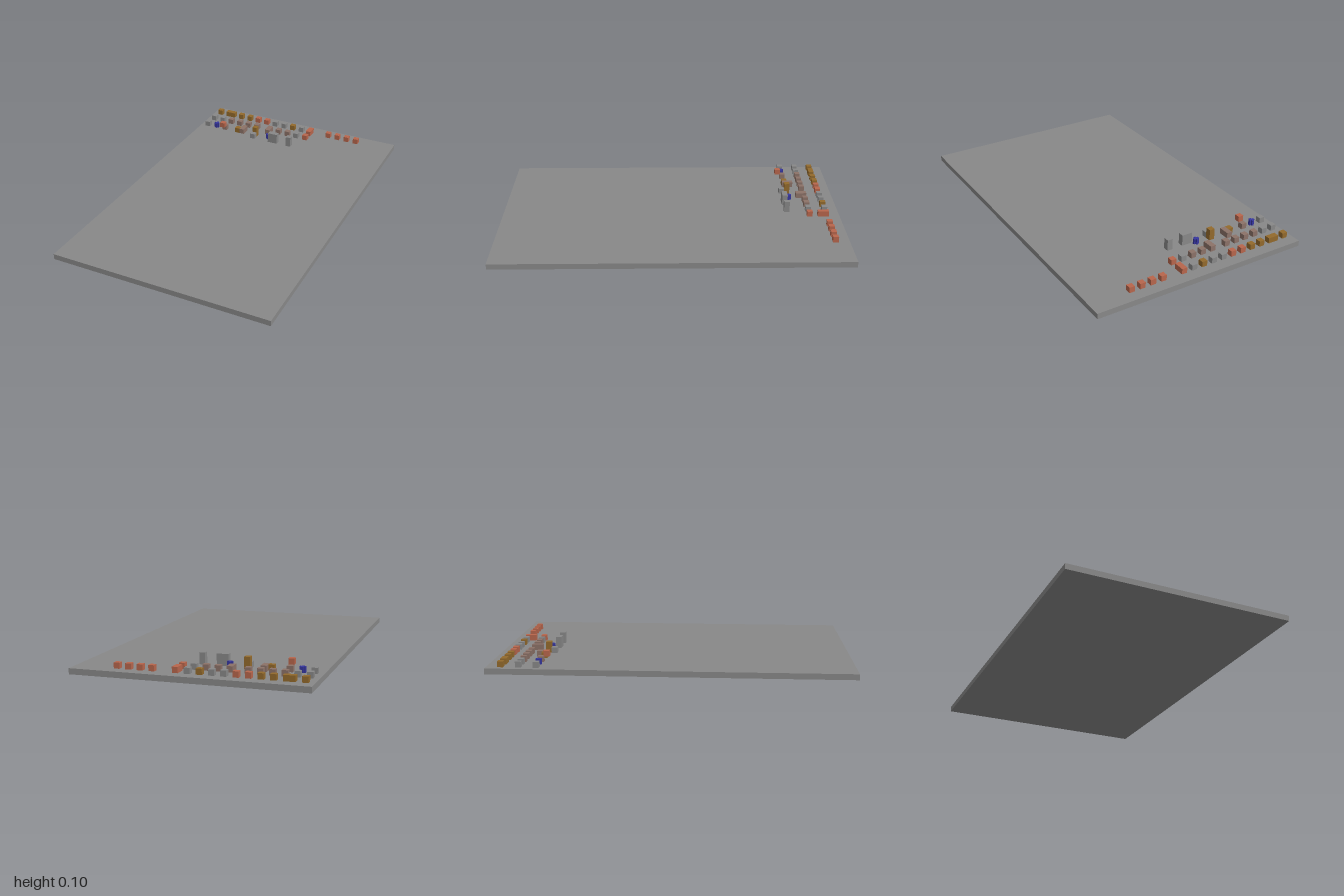
import * as THREE from 'three';

const U = 2 / 62; // one grid cell

const paint = (name, color) => {
  const m = new THREE.MeshStandardMaterial({ color });
  m.name = name;
  return m;
};

export function createModel() {
  const group = new THREE.Group();
  const grey = paint('grey', 0x888888);
  const orange = paint('orange', 0xb8664c);
  const ochre = paint('ochre', 0x936a2c);
  const blue = paint('blue', 0x3636a0);
  const taupe = paint('taupe', 0x8c7268);

  // Block centred on x, z in cells, with its bottom at cell height y
  const block = (name, mat, x, z, y = 1, w = 1, h = 1, d = 1) => {
    const mesh = new THREE.Mesh(new THREE.BoxGeometry(w * U, h * U, d * U), mat);
    mesh.position.set(x * U, (y + h / 2) * U, z * U);
    mesh.name = name;
    group.add(mesh);
  };
  const row = (name, mat, z, xs) => xs.forEach((x) => block(name, mat, x, z));

  // Upright plus-shaped post
  const crossPost = (x, z) => {
    const a = 0.5, b = 0.2;
    const pts = [[b, a], [-b, a], [-b, b], [-a, b], [-a, -b], [-b, -b],
      [-b, -a], [b, -a], [b, -b], [a, -b], [a, b], [b, b]];
    const shape = new THREE.Shape(pts.map(([px, py]) => new THREE.Vector2(px * U, py * U)));
    const geo = new THREE.ExtrudeGeometry(shape, { depth: U, bevelEnabled: false });
    geo.rotateX(-Math.PI / 2);
    const mesh = new THREE.Mesh(geo, blue);
    mesh.position.set(x * U, U, z * U);
    mesh.name = 'crossPost';
    group.add(mesh);
  };

  // Base plate
  block('basePlate', grey, 0, 0, 0, 40, 1, 62);

  // Back row
  row('backBlock', ochre, -28.5, [-18.5, -13.5, -11.5, -1.5]);
  row('backBlock', orange, -28.5, [-9.5, -7.5, 6.5, 8.5, 10.5, 12.5]);
  row('backBlock', grey, -28.5, [-5.5, -3.5, 0.5]);
  block('backWideBlock', ochre, -16, -28.5, 1, 2);
  block('backLongBlock', orange, 2.5, -28, 1, 1, 1, 2);

  // Middle row
  row('middleBlock', grey, -25.5, [-18.5, -16.5, 0.5]);
  row('middleBlock', taupe, -25.5, [-14.5, -12.5, -10.5, -8.5, -3.5, -1.5]);
  block('middleLongBlock', taupe, -5.5, -25, 1, 1, 1, 2);
  block('middleEndBlock', orange, 2.5, -25.5);

  // Front row
  block('frontBlock', grey, -18.5, -22.5);
  crossPost(-16.5, -22.5);
  crossPost(-4.5, -22.5);
  block('stepBase', taupe, -14.5, -22.5);
  block('stepTop', orange, -14.5, -21.5, 2);
  block('frontBlock', ochre, -11.5, -22.5);
  block('frontLongBlock', taupe, -10.5, -23, 1, 1, 1, 2);
  block('tallBlock', ochre, -7.5, -22.5, 1, 1, 2);
  block('tallBlockFoot', grey, -7.5, -21.5);
  block('wideTallBlock', grey, -3, -21.5, 1, 2, 2);
  block('pillar', grey, 0.5, -21.5, 1, 1, 2);

  return group;
}
